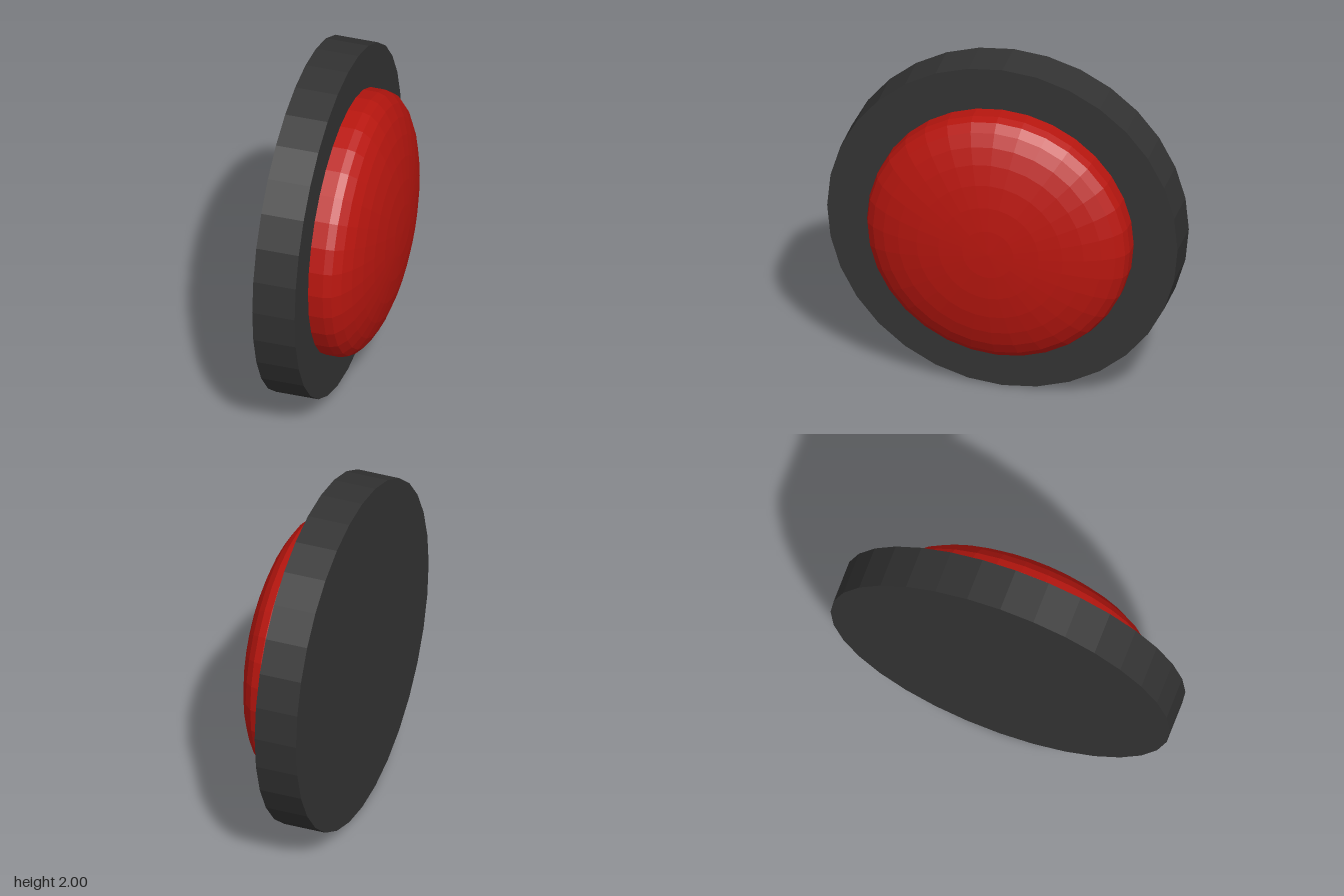
import * as THREE from 'three';

const SIDES = 32;

export function createModel() {
  const model = new THREE.Group();
  model.name = 'roundPushButton';

  const add = (name, geometry, color) => {
    const material = new THREE.MeshStandardMaterial({ color, flatShading: true });
    const mesh = new THREE.Mesh(geometry, material);
    mesh.name = name;
    // turn the axis of revolution from +y to +x and lift to standing height
    mesh.rotation.z = -Math.PI / 2;
    mesh.position.y = 1;
    model.add(mesh);
    return mesh;
  };

  // base plate: a thick disc standing on its rim
  const base = add('basePlate', new THREE.CylinderGeometry(1, 1, 0.245, SIDES), 0x333333);
  base.position.x = -0.16;

  // button: short straight wall running into a flattened dome
  const profile = [new THREE.Vector2(0.75, -0.04)];
  const steps = 8;
  for (let i = 0; i <= steps; i++) {
    const a = (i / steps) * Math.PI / 2;
    profile.push(new THREE.Vector2(i === steps ? 0 : 0.75 * Math.cos(a), 0.047 + 0.235 * Math.sin(a)));
  }
  add('buttonDome', new THREE.LatheGeometry(profile, SIDES), 0xb8160f);

  return model;
}
